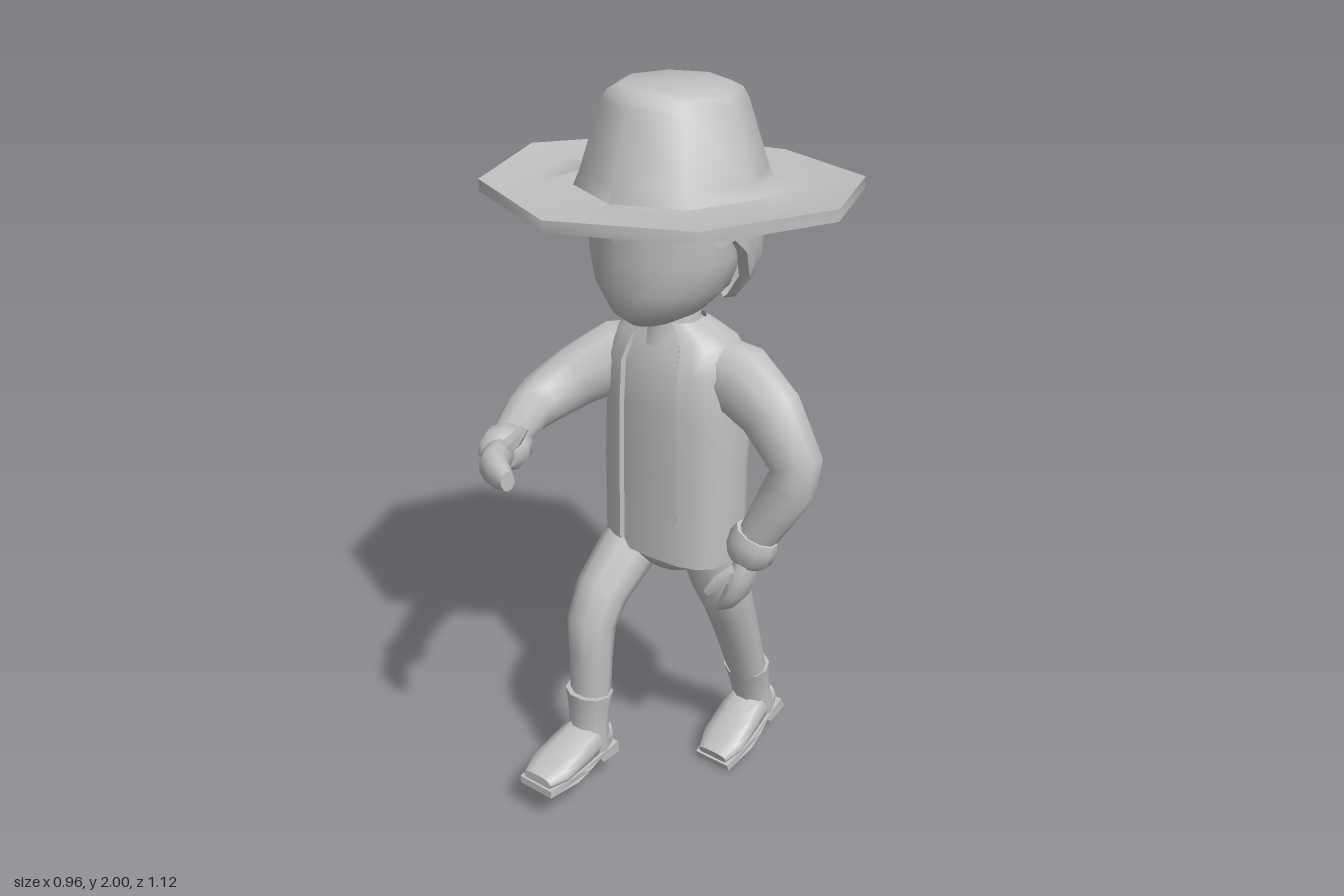
import * as THREE from 'three';
import { toCreasedNormals } from 'three/addons/utils/BufferGeometryUtils.js';

const V = (x, y, z) => new THREE.Vector3(x, y, z);
const UP = V(0, 1, 0), X = V(1, 0, 0), Z = V(0, 0, 1);
const lerp = THREE.MathUtils.lerp;

// Skin rows of points into a surface; closed rows may be capped
function skin(rows, closed = true, caps = true, crease = 1) {
  const n = rows[0].length, pos = [], idx = [];
  rows.forEach(r => r.forEach(p => pos.push(p.x, p.y, p.z)));
  const cols = closed ? n : n - 1;
  for (let i = 0; i < rows.length - 1; i++) {
    for (let j = 0; j < cols; j++) {
      const k = (j + 1) % n, a = i * n + j, b = i * n + k;
      idx.push(a, b, b + n, a, b + n, a + n);
    }
  }
  if (closed && caps) {
    [0, rows.length - 1].forEach(i => {
      const c = rows[i].reduce((s, p) => s.add(p), V(0, 0, 0)).divideScalar(n);
      const m = pos.length / 3;
      pos.push(c.x, c.y, c.z);
      for (let j = 0; j < n; j++) {
        const a = i * n + j, b = i * n + (j + 1) % n;
        if (i) idx.push(m, a, b); else idx.push(m, b, a);
      }
    });
  }
  const g = new THREE.BufferGeometry();
  g.setAttribute('position', new THREE.Float32BufferAttribute(pos, 3));
  g.setIndex(idx);
  return toCreasedNormals(g, crease);
}

// Tube through [x, y, z, a, b]: a is the half size along ref, b across it
function limb(pts, ref, { n = 10, axis = null, power = 1 } = {}) {
  const c = pts.map(p => V(p[0], p[1], p[2]));
  const bend = t => Math.sign(t) * Math.abs(t) ** power;
  const rows = pts.map((p, i) => {
    const t = axis ? axis.clone()
      : c[Math.min(i + 1, c.length - 1)].clone().sub(c[Math.max(i - 1, 0)]).normalize();
    const u = ref.clone().addScaledVector(t, -ref.dot(t)).normalize();
    const v = t.clone().cross(u);
    return Array.from({ length: n }, (_, j) => {
      const q = j / n * Math.PI * 2;
      return c[i].clone().addScaledVector(u, p[3] * bend(Math.cos(q)))
        .addScaledVector(v, (p[4] ?? p[3]) * bend(Math.sin(q)));
    });
  });
  return skin(rows);
}

// Upright form from [y, halfWidth, zFront, zBack]
const upright = (sections, opts = {}) => limb(
  sections.map(([y, w, f, b]) => [0, y, (f + b) / 2, w, (f - b) / 2]), X, { n: 16, axis: UP, ...opts });

export function createModel() {
  const model = new THREE.Group();
  const grey = new THREE.MeshStandardMaterial({ color: 0xc0c0c0, side: THREE.DoubleSide });
  grey.name = 'plain grey';
  const add = (name, geo, parent = model) => {
    const m = new THREE.Mesh(geo, grey);
    m.name = name;
    parent.add(m);
    return m;
  };

  // Wide eight-sided hat with a slightly curled brim
  const profile = [[0, 1.73], [0.22, 1.725], [0.36, 1.715], [0.48, 1.725], [0.48, 1.755], [0.36, 1.745],
    [0.25, 1.755], [0.235, 1.79], [0.18, 1.96], [0.165, 1.985], [0.135, 2], [0, 2]];
  const hat = new THREE.LatheGeometry(profile.map(p => new THREE.Vector2(...p)), 8);
  const hp = hat.attributes.position;
  for (let i = 0; i < hp.count; i++) {
    const x = hp.getX(i), z = hp.getZ(i);
    if (Math.hypot(x, z) > 0.3) hp.setY(i, hp.getY(i) + 0.02 * (x / 0.48) ** 2 + 0.015 * z / 0.48);
  }
  hat.translate(0, 0, -0.08);
  add('hat', toCreasedNormals(hat, 1.2));

  // Head and neck
  add('head', upright([[1.425, 0.06, 0.08, -0.1], [1.455, 0.115, 0.115, -0.15], [1.52, 0.175, 0.13, -0.2],
    [1.6, 0.2, 0.135, -0.23], [1.75, 0.2, 0.135, -0.25]]));
  add('neck', upright([[1.34, 0.09, 0, -0.18], [1.41, 0.07, -0.02, -0.15], [1.5, 0.07, -0.02, -0.16]]));

  // Hair: jagged fringe in front, long at the nape
  const hairRows = [];
  for (let k = 0; k <= 6; k++) {
    hairRows.push(Array.from({ length: 32 }, (_, j) => {
      const q = j / 32 * Math.PI * 2, c = Math.cos(q);
      let low = 1.66 - 0.2 * THREE.MathUtils.smoothstep(-c, -0.2, 0.5);
      if (c > 0.3) low += j % 2 ? 0.014 : -0.012;
      const y = lerp(1.76, low, Math.min(k, 5) / 5);
      const s = (1 - 18 * Math.max(0, 1.6 - y) ** 2) * (k === 6 ? 0.86 : 1);
      return V(0.226 * s * Math.sin(q), y, -0.078 + 0.222 * s * c);
    }));
  }
  add('hair', skin(hairRows, true, false));

  // Shirt, with an open-fronted vest over it
  const torso = [[0.755, 0.2, 0.034, -0.22], [1, 0.2, 0.034, -0.22], [1.18, 0.195, 0.034, -0.243],
    [1.29, 0.19, 0.028, -0.235], [1.36, 0.165, 0, -0.2], [1.39, 0.12, -0.015, -0.17], [1.41, 0.08, -0.02, -0.15]];
  add('shirt', upright(torso.map(([y, w, f, b], i) =>
    [i ? y - 0.004 : 0.74, w - 0.012, f - 0.01, b + 0.012]), { power: 0.7 }));
  const vestRow = ([y, w, f, b], inset) => Array.from({ length: 23 }, (_, j) => {
    const k = Math.min(Math.max(j - 1, 0), 20) / 20;
    const q = lerp(0.36, Math.PI * 2 - 0.36, k);
    const s = inset || j === 0 || j === 22 ? 0.92 : 1;
    const bend = t => Math.sign(t) * Math.abs(t) ** 0.7;
    const hem = y < 0.8 ? 0.012 * Math.cos(q) : 0;
    return V(w * s * bend(Math.sin(q)), y + hem, (f + b) / 2 + (f - b) / 2 * s * bend(Math.cos(q)));
  });
  add('vest', skin([vestRow(torso[0], true), ...torso.map(t => vestRow(t, false))], false));

  // Trousers
  add('hips', upright([[0.69, 0.07, -0.02, -0.14], [0.73, 0.15, 0.01, -0.17],
    [0.78, 0.185, 0.02, -0.2], [0.85, 0.18, 0.01, -0.19]], { power: 0.8 }));
  add('rightLeg', limb([[-0.105, 0.8, -0.11, 0.08, 0.08], [-0.12, 0.7, -0.03, 0.082, 0.085],
    [-0.128, 0.61, 0.07, 0.075, 0.075], [-0.126, 0.53, 0.12, 0.07, 0.065],
    [-0.122, 0.43, 0.13, 0.066, 0.053], [-0.122, 0.27, 0.135, 0.06, 0.05]], X));
  add('leftLeg', limb([[0.105, 0.8, -0.09, 0.085, 0.085], [0.12, 0.68, -0.125, 0.078, 0.085],
    [0.122, 0.53, -0.188, 0.073, 0.065], [0.115, 0.4, -0.245, 0.067, 0.056],
    [0.11, 0.22, -0.315, 0.058, 0.05]], X));

  // Boots: shaft, rounded foot, sole with a raised arch and a heel
  const makeBoot = (name, x, y, z, pitch) => {
    const boot = new THREE.Group();
    boot.name = name;
    add('bootShaft', limb([[0, 0, 0, 0.072, 0.059], [0, -0.06, 0.002, 0.064, 0.052],
      [0, -0.12, 0.005, 0.06, 0.05], [0, -0.165, 0.004, 0.063, 0.056], [0, -0.2, 0, 0.06, 0.052]],
    X, { axis: V(0, -1, 0) }), boot);
    add('bootFoot', limb([[0, -0.155, -0.04, 0.052, 0.045], [0, -0.155, 0.04, 0.063, 0.055],
      [0, -0.165, 0.1, 0.068, 0.042], [0, -0.178, 0.17, 0.07, 0.029], [0, -0.185, 0.225, 0.05, 0.017]],
    X, { axis: Z, power: 0.7 }), boot);
    const outline = [[-0.058, -0.222], [0.012, -0.222], [0.025, -0.203], [0.08, -0.205], [0.13, -0.217],
      [0.232, -0.217], [0.232, -0.195], [0.12, -0.19], [-0.052, -0.185]];
    const sole = new THREE.ExtrudeGeometry(new THREE.Shape(outline.map(p => new THREE.Vector2(...p))),
      { depth: 0.14, bevelEnabled: false });
    sole.translate(0, 0, -0.07).rotateY(-Math.PI / 2);
    // Narrow the sole toward heel and toe
    const p = sole.attributes.position;
    for (let i = 0; i < p.count; i++) {
      const t = p.getZ(i);
      p.setX(i, p.getX(i) * (t < 0.06 ? 0.85 : t > 0.2 ? 0.82 : 1));
    }
    add('bootSole', toCreasedNormals(sole, 0.6), boot);
    boot.position.set(x, y, z);
    boot.rotation.x = pitch;
    model.add(boot);
  };
  makeBoot('rightBoot', -0.122, 0.32, 0.14, 0);
  makeBoot('leftBoot', 0.108, 0.278, -0.3, 0.3);

  // Left arm hanging beside the hip
  add('leftSleeve', limb([[0.12, 1.28, -0.11, 0.085, 0.09], [0.2, 1.265, -0.11, 0.085, 0.105],
    [0.29, 1.2, -0.115, 0.08, 0.09], [0.375, 1.085, -0.11, 0.068, 0.073],
    [0.365, 1.02, -0.105, 0.062, 0.07], [0.32, 0.93, -0.09, 0.054, 0.06], [0.27, 0.83, -0.075, 0.046, 0.05]], Z));
  add('leftCuff', limb([[0.286, 0.868, -0.075, 0.05, 0.062], [0.278, 0.845, -0.073, 0.058, 0.07],
    [0.265, 0.805, -0.07, 0.058, 0.068], [0.258, 0.785, -0.07, 0.046, 0.05]], Z));
  add('leftHand', limb([[0.268, 0.81, -0.065, 0.035, 0.03], [0.262, 0.75, -0.05, 0.048, 0.033],
    [0.25, 0.7, -0.045, 0.048, 0.03], [0.222, 0.655, -0.045, 0.04, 0.023],
    [0.2, 0.633, -0.04, 0.025, 0.013]], Z));
  add('leftThumb', limb([[0.26, 0.77, -0.035, 0.022], [0.222, 0.735, 0, 0.02], [0.192, 0.695, 0.012, 0.012]],
    Z, { n: 6 }));

  // Right arm bent, reaching forward
  add('rightSleeve', limb([[-0.11, 1.27, -0.12, 0.09, 0.085], [-0.18, 1.255, -0.07, 0.1, 0.085],
    [-0.25, 1.205, 0.02, 0.085, 0.08], [-0.295, 1.155, 0.11, 0.068, 0.075],
    [-0.275, 1.148, 0.19, 0.058, 0.062], [-0.22, 1.15, 0.29, 0.049, 0.055],
    [-0.16, 1.16, 0.39, 0.042, 0.045]], UP));
  add('rightCuff', limb([[-0.178, 1.155, 0.355, 0.048, 0.055], [-0.168, 1.157, 0.373, 0.056, 0.067],
    [-0.145, 1.16, 0.412, 0.056, 0.066], [-0.135, 1.162, 0.43, 0.042, 0.048]], UP));
  add('rightHand', limb([[-0.145, 1.163, 0.41, 0.03, 0.032], [-0.118, 1.168, 0.46, 0.042, 0.038],
    [-0.085, 1.17, 0.505, 0.046, 0.036], [-0.04, 1.172, 0.53, 0.04, 0.03],
    [0, 1.172, 0.545, 0.026, 0.018]], UP));
  add('rightThumb', limb([[-0.115, 1.18, 0.45, 0.022], [-0.085, 1.212, 0.43, 0.02], [-0.066, 1.248, 0.412, 0.012]],
    X, { n: 6 }));

  return model;
}
